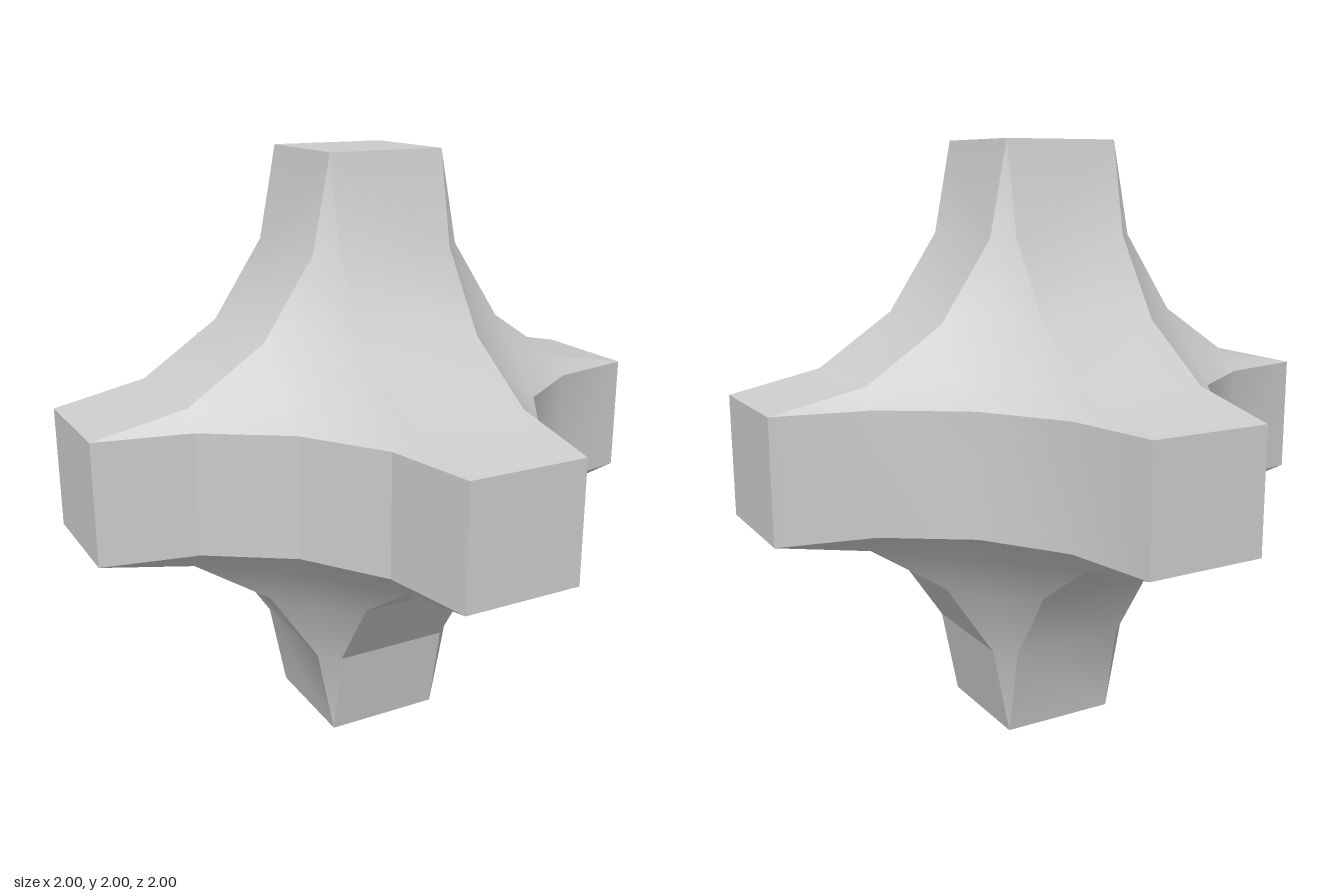
import * as THREE from 'three';

const HALF = 0.2;      // half width of the square arms
const REACH = 1;       // arm length from the centre
const RADIUS = REACH - HALF; // radius of the concave fillets
const SEGMENTS = 4;

// coordinate along a fillet: HALF at step 0, REACH at the last step
const fillet = (step) => REACH - RADIUS * Math.cos((step / SEGMENTS) * Math.PI / 2);

const smooth = new THREE.MeshStandardMaterial({ color: 0xcccccc });
const faceted = new THREE.MeshStandardMaterial({ color: 0xcccccc, flatShading: true });

function surface(name, points, triangles, flip, material = smooth) {
  const geometry = new THREE.BufferGeometry().setFromPoints(points);
  geometry.setIndex(triangles.flatMap(([a, b, c]) => (flip ? [a, c, b] : [a, b, c])));
  geometry.computeVertexNormals();
  const mesh = new THREE.Mesh(geometry, material);
  mesh.name = name;
  return mesh;
}

// curved strip joining the arms on two axes
function filletBand(axis, signA, signB, material) {
  const a = axis, b = (axis + 1) % 3, c = (axis + 2) % 3;
  const points = [], triangles = [];
  for (let i = 0; i <= SEGMENTS; i++) {
    for (const w of [-HALF, HALF]) {
      const p = new THREE.Vector3();
      p.setComponent(a, signA * fillet(i));
      p.setComponent(b, signB * fillet(SEGMENTS - i));
      p.setComponent(c, w);
      points.push(p);
    }
    if (i < SEGMENTS) {
      const n = 2 * i;
      triangles.push([n, n + 1, n + 2], [n + 1, n + 3, n + 2]);
    }
  }
  return surface('filletBand', points, triangles, signA * signB < 0, material);
}

// hollow three-cornered web between three arms, lying on a sphere
function cornerWeb(sx, sy, sz) {
  const centre = new THREE.Vector3(REACH, REACH, REACH);
  const points = [], triangles = [];
  const index = (i, j) => (i * (2 * SEGMENTS + 3 - i)) / 2 + j;
  for (let i = 0; i <= SEGMENTS; i++) {
    for (let j = 0; j <= SEGMENTS - i; j++) {
      const p = new THREE.Vector3(fillet(i), fillet(j), fillet(SEGMENTS - i - j));
      p.sub(centre).setLength(RADIUS * Math.SQRT2).add(centre);
      points.push(p.multiply(new THREE.Vector3(sx, sy, sz)));
      if (i + j < SEGMENTS) triangles.push([index(i, j), index(i + 1, j), index(i, j + 1)]);
      if (i + j < SEGMENTS - 1) triangles.push([index(i + 1, j), index(i + 1, j + 1), index(i, j + 1)]);
    }
  }
  return surface('cornerWeb', points, triangles, sx * sy * sz < 0);
}

// square end face of an arm
function armEnd(axis, sign) {
  const mesh = new THREE.Mesh(new THREE.PlaneGeometry(2 * HALF, 2 * HALF), smooth);
  mesh.name = 'armEnd';
  mesh.position.setComponent(axis, sign * REACH);
  mesh.lookAt(mesh.position.clone().multiplyScalar(2));
  return mesh;
}

export function createModel() {
  const model = new THREE.Group();
  model.name = 'sixArmedJoint';
  const body = new THREE.Group();
  body.name = 'body';
  body.position.y = REACH;
  model.add(body);

  // bands shaded flat: left-bottom, bottom-front and front-right sides
  const flatBands = ['0,1,-1', '1,-1,1', '2,1,-1'];
  const signs = [-1, 1];
  for (const axis of [0, 1, 2]) {
    for (const s of signs) {
      body.add(armEnd(axis, s));
      for (const t of signs) {
        const flat = flatBands.includes(`${axis},${s},${t}`);
        body.add(filletBand(axis, s, t, flat ? faceted : smooth));
      }
    }
  }
  for (const x of signs) for (const y of signs) for (const z of signs) body.add(cornerWeb(x, y, z));

  return model;
}
